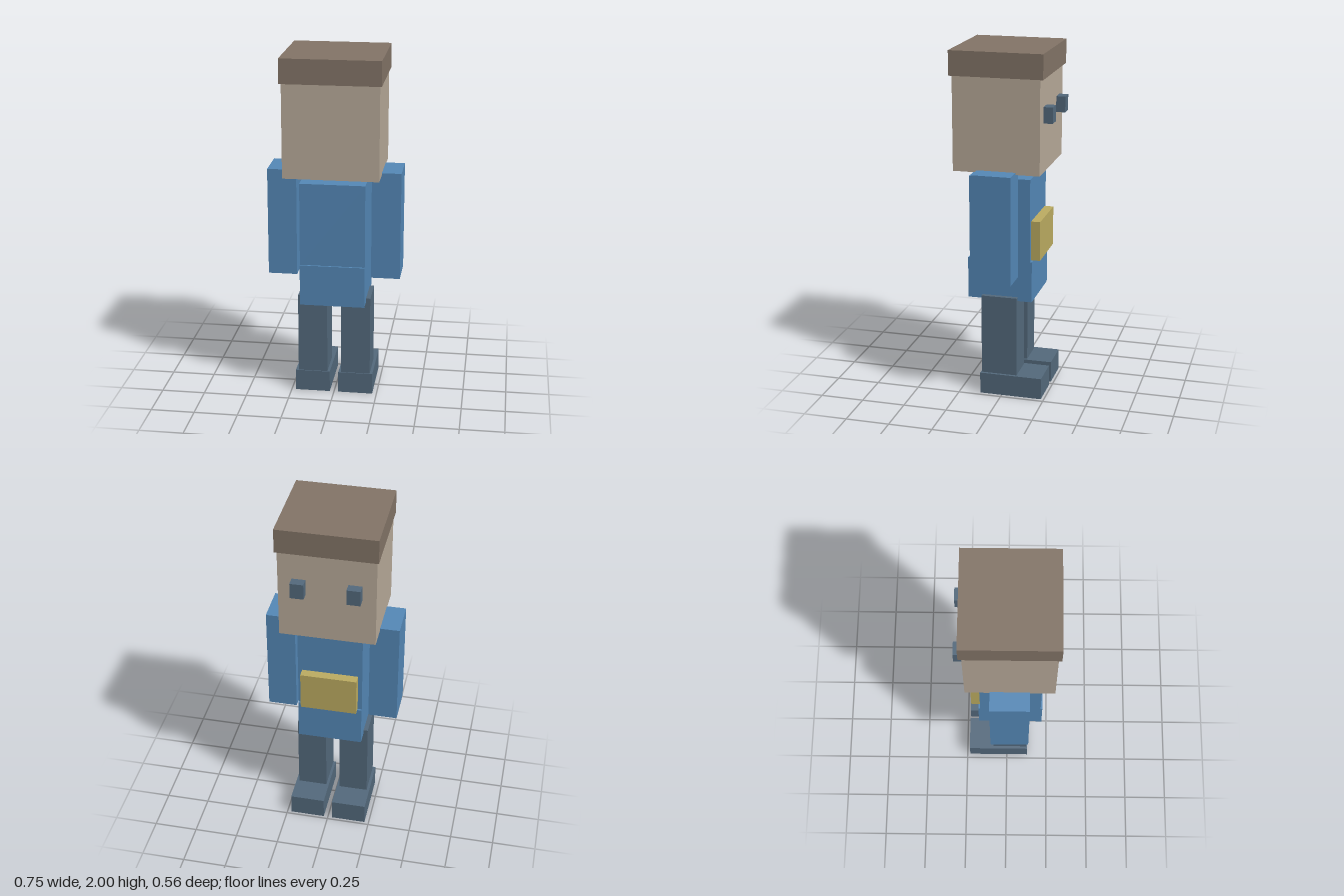
import * as THREE from 'three';

const mat = (name, color) => {
  const m = new THREE.MeshStandardMaterial({ color });
  m.name = name;
  return m;
};

export function createModel() {
  const model = new THREE.Group();
  model.name = 'blockFigure';

  const skin = mat('skin', 0xb9ab9a);
  const brown = mat('brown', 0x847568);
  const blue = mat('blue', 0x5589b8);
  const slate = mat('slate', 0x546a7d);
  const yellow = mat('yellow', 0xbdad62);

  // Box given by its extents along each axis
  const box = (name, material, [x0, x1], [y0, y1], [z0, z1]) => {
    const mesh = new THREE.Mesh(new THREE.BoxGeometry(x1 - x0, y1 - y0, z1 - z0), material);
    mesh.position.set((x0 + x1) / 2, (y0 + y1) / 2, (z0 + z1) / 2);
    mesh.name = name;
    model.add(mesh);
  };

  // Same box on both sides of the body
  const pair = (name, material, [x0, x1], y, z) => {
    box('left' + name, material, [x0, x1], y, z);
    box('right' + name, material, [-x1, -x0], y, z);
  };

  // Head and hair
  box('head', skin, [-0.267, 0.267], [1.333, 1.862], [-0.228, 0.263]);
  box('hair', brown, [-0.277, 0.277], [1.862, 2], [-0.246, 0.279]);
  pair('Eye', slate, [0.115, 0.19], [1.61, 1.7], [-0.28, -0.228]);

  // Body
  box('torso', blue, [-0.184, 0.184], [0.81, 1.287], [-0.155, 0.196]);
  box('hips', blue, [-0.184, 0.184], [0.572, 0.81], [-0.166, 0.206]);
  box('chestPanel', yellow, [-0.16, 0.16], [0.815, 1.042], [-0.207, -0.155]);

  // Limbs
  pair('Arm', blue, [0.212, 0.376], [0.726, 1.345], [-0.093, 0.126]);
  pair('Leg', slate, [0.04, 0.209], [0.125, 0.595], [-0.085, 0.122]);
  pair('Foot', slate, [0.025, 0.225], [0, 0.125], [-0.233, 0.128]);

  return model;
}
